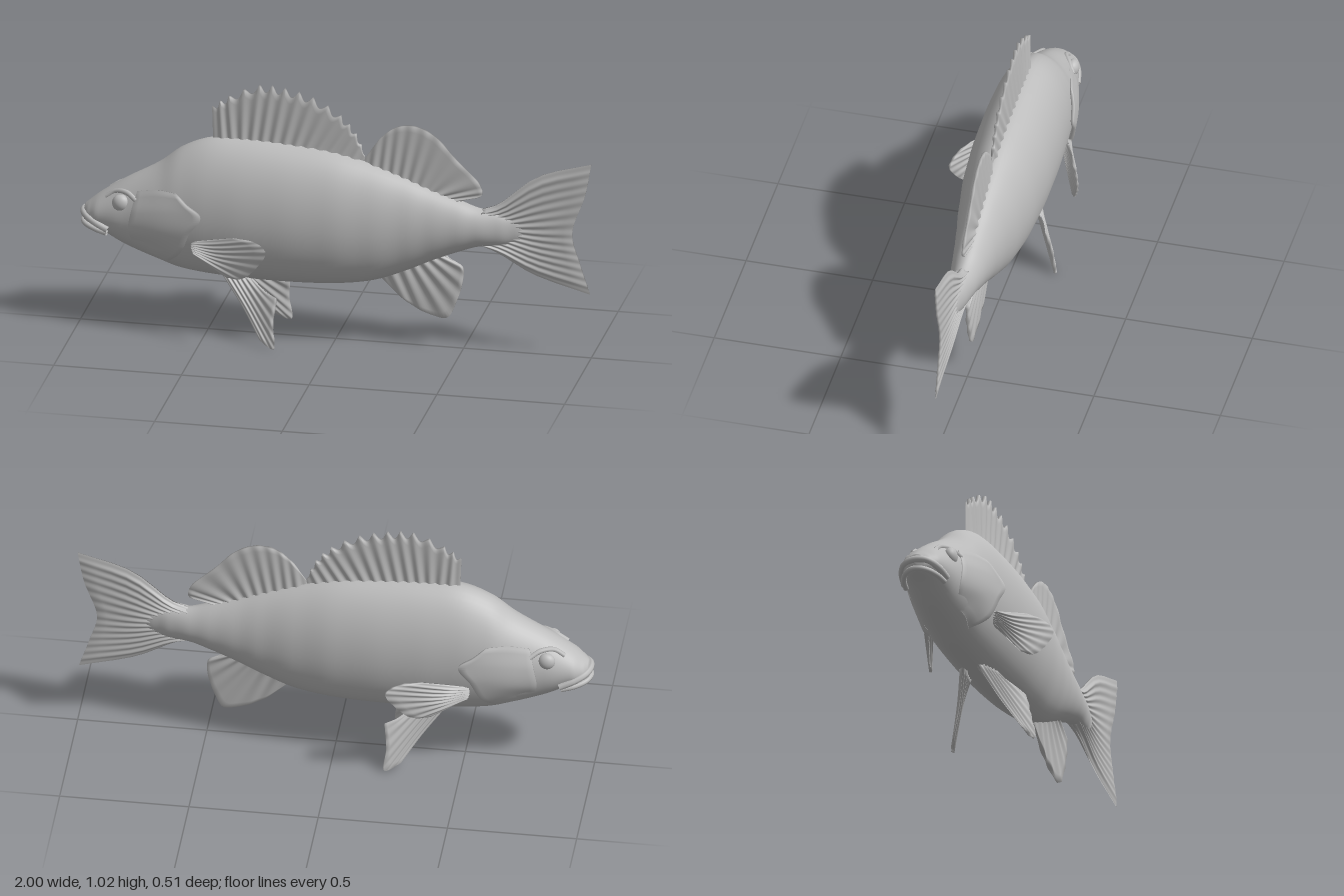
import * as THREE from 'three';

const skin = new THREE.MeshStandardMaterial({ color: 0xbcbcbc, side: THREE.DoubleSide });
skin.name = 'grey skin';
const V = (p) => new THREE.Vector3(p[0], p[1], p[2] || 0);

// Body stations from snout to tail: x, top y, bottom y, half width
const stations = [
  [-0.985, 0.478, 0.415, 0.03], [-0.96, 0.5, 0.405, 0.06], [-0.92, 0.533, 0.39, 0.083],
  [-0.82, 0.6, 0.335, 0.106], [-0.69, 0.675, 0.285, 0.132], [-0.6, 0.745, 0.255, 0.143],
  [-0.49, 0.79, 0.24, 0.152], [-0.35, 0.798, 0.232, 0.158], [-0.18, 0.79, 0.23, 0.158],
  [0, 0.77, 0.237, 0.147], [0.15, 0.73, 0.26, 0.125], [0.28, 0.685, 0.31, 0.1],
  [0.38, 0.645, 0.358, 0.083], [0.48, 0.61, 0.4, 0.068], [0.56, 0.583, 0.428, 0.054],
  [0.64, 0.572, 0.436, 0.037], [0.7, 0.555, 0.45, 0.02], [0.76, 0.53, 0.47, 0.004],
];
const profile = new THREE.CatmullRomCurve3(stations.map((s) => new THREE.Vector3(s[0], s[1], s[2])), false, 'centripetal');

// Interpolated station at x
function stationAt(x) {
  let i = 0;
  while (i < stations.length - 2 && stations[i + 1][0] < x) i++;
  const a = stations[i], b = stations[i + 1];
  const t = THREE.MathUtils.clamp((x - a[0]) / (b[0] - a[0]), 0, 1);
  return a.map((v, k) => v + (b[k] - v) * t);
}

// Point on the flank at x and y
function flank(x, y, out = 0) {
  const [, top, bottom, w] = stationAt(x);
  const mid = bottom + (top - bottom) * 0.47;
  const d = (y - mid) / (y > mid ? top - mid : mid - bottom);
  return [x, y, w * Math.sqrt(Math.max(0, 1 - d * d)) + out];
}

// Indexed grid of points, nu by nv; the last column can join the first
function grid(points, nu, nv, closed) {
  const index = [];
  for (let i = 0; i < nu - 1; i++) {
    for (let j = 0; j < (closed ? nv : nv - 1); j++) {
      const k = (j + 1) % nv;
      const a = i * nv + j, b = i * nv + k, c = a + nv, d = b + nv;
      index.push(a, b, c, b, d, c);
    }
  }
  const g = new THREE.BufferGeometry();
  g.setAttribute('position', new THREE.Float32BufferAttribute(points, 3));
  g.setIndex(index);
  g.computeVertexNormals();
  return g;
}

function bodyGeometry() {
  const pts = [], nu = 90, nv = 48;
  for (let i = 0; i <= nu; i++) {
    const p = profile.getPoint(i / nu);
    // Ends close to a point
    const end = i === 0 || i === nu ? 0.02 : 1;
    const s = i / nu * (stations.length - 1), k = Math.min(Math.floor(s), stations.length - 2);
    const f = s - k, e = f * f * (3 - 2 * f) * 0.4 + f * 0.6;
    const w = stations[k][3] * (1 - e) + stations[k + 1][3] * e;
    const mid = p.z + (p.y - p.z) * 0.47;
    for (let j = 0; j < nv; j++) {
      const a = j / nv * Math.PI * 2, c = Math.cos(a), n = Math.sin(a);
      const h = c > 0 ? p.y - mid : mid - p.z;
      const z = Math.sign(n) * Math.pow(Math.abs(n), c > 0 ? 1.12 : 0.95);
      pts.push(p.x, mid + c * h * end, z * w * end);
    }
  }
  return grid(pts, nu + 1, nv, true);
}

// Thin fin lofted through rows of points from root to edge, with ribbed rays
function fin(rows, o = {}) {
  const { thick = 0.01, tip = 0.003, rays = 8, rib = 0.35, jag = 0, normal = [0, 0, 1] } = o;
  const curves = rows.map((r) => new THREE.CatmullRomCurve3(r.map(V), false, 'centripetal'));
  const nrm = V(normal).normalize(), nu = rays * 8, nv = 10, pts = [];
  for (let i = 0; i <= nu; i++) {
    const u = i / nu;
    const line = new THREE.CatmullRomCurve3(curves.map((c) => c.getPoint(u)));
    const saw = (u * rays) % 1;
    const reach = 1 - jag * Math.sin(saw * Math.PI) * (0.4 + saw);
    const edge = Math.min(1, Math.min(u, 1 - u) * 14 + 0.12);
    for (let j = 0; j < nv * 2 + 2; j++) {
      const side = j <= nv ? 1 : -1;
      const v = (j <= nv ? j : nv * 2 + 1 - j) / nv;
      const t = (thick + (tip - thick) * v) * edge * (1 + rib * Math.cos(u * rays * Math.PI * 2));
      const p = line.getPoint(v * reach).addScaledVector(nrm, side * t);
      pts.push(p.x, p.y, p.z);
    }
  }
  return grid(pts, nu + 1, nv * 2 + 2, true);
}

export function createModel() {
  const fish = new THREE.Group();
  fish.name = 'fish';
  const add = (name, geometry) => {
    const m = new THREE.Mesh(geometry, skin);
    m.name = name;
    fish.add(m);
    return m;
  };

  add('body', bodyGeometry());

  // Fins on the midline
  add('spinyDorsalFin', fin([
    [[-0.48, 0.77], [-0.3, 0.78], [-0.1, 0.77], [0.11, 0.73]],
    [[-0.485, 0.92], [-0.42, 0.965], [-0.3, 1.02], [-0.2, 1.015], [-0.09, 0.985], [0.02, 0.92], [0.08, 0.85], [0.115, 0.76]],
  ], { thick: 0.013, tip: 0.005, rays: 14, jag: 0.13 }));
  add('softDorsalFin', fin([
    [[0.11, 0.73], [0.25, 0.68], [0.38, 0.63], [0.49, 0.6]],
    [[0.115, 0.755], [0.18, 0.845], [0.24, 0.89], [0.31, 0.898], [0.385, 0.865], [0.47, 0.775], [0.565, 0.675], [0.57, 0.635], [0.5, 0.615]],
  ], { thick: 0.012, tip: 0.004, rays: 11 }));
  add('analFin', fin([
    [[0.17, 0.28], [0.28, 0.325], [0.36, 0.365], [0.43, 0.39]],
    [[0.18, 0.265], [0.27, 0.185], [0.34, 0.145], [0.435, 0.125], [0.475, 0.2], [0.495, 0.27], [0.495, 0.335], [0.435, 0.365]],
  ], { thick: 0.014, tip: 0.006, rays: 7 }));
  add('tailFin', fin([
    [[0.57, 0.58], [0.59, 0.505], [0.57, 0.43]],
    [[0.635, 0.605], [0.67, 0.505], [0.635, 0.405]],
    [[0.79, 0.73], [0.8, 0.5], [0.77, 0.33]],
    [[1, 0.797], [0.975, 0.665], [0.925, 0.505], [0.955, 0.385], [0.995, 0.262]],
  ], { thick: 0.022, tip: 0.004, rays: 14, rib: 0.2 }));

  // Upper and lower lips wrapped around the snout
  const lip = (name, pts, r) => {
    const all = [...pts.map((p) => [p[0], p[1], -p[2]]), ...pts.slice(0, -1).reverse()];
    add(name, new THREE.TubeGeometry(new THREE.CatmullRomCurve3(all.map(V)), 32, r, 8));
  };
  lip('upperLip', [[-0.875, 0.412, 0.088], [-0.93, 0.435, 0.075], [-0.97, 0.452, 0.047], [-0.985, 0.458, 0]], 0.014);
  lip('lowerLip', [[-0.88, 0.395, 0.08], [-0.93, 0.405, 0.068], [-0.972, 0.415, 0.04], [-0.987, 0.42, 0]], 0.011);

  // Paired parts
  for (const s of [1, -1]) {
    const side = s > 0 ? 'left' : 'right';
    const flip = (rows) => rows.map((r) => r.map((p) => [p[0], p[1], p[2] * s]));
    const pectoral = (x, y) => [x, y, 0.145 + (x + 0.5) * 0.39];

    add(side + 'PectoralFin', fin(flip([
      [pectoral(-0.53, 0.41), pectoral(-0.53, 0.385), pectoral(-0.52, 0.36)],
      [pectoral(-0.45, 0.435), pectoral(-0.43, 0.375), pectoral(-0.44, 0.315)],
      [pectoral(-0.36, 0.462), pectoral(-0.26, 0.46), pectoral(-0.225, 0.43), pectoral(-0.26, 0.365),
        pectoral(-0.32, 0.305), pectoral(-0.39, 0.293)],
    ]), { thick: 0.014, tip: 0.004, rays: 8, normal: [-0.39, 0, s] }));

    add(side + 'PelvicFin', fin(flip([
      [[-0.44, 0.245, 0.03], [-0.38, 0.25, 0.045], [-0.31, 0.245, 0.06]],
      [[-0.345, 0.13, 0.085], [-0.3, 0.155, 0.1], [-0.25, 0.215, 0.11]],
      [[-0.27, 0.03, 0.145], [-0.21, 0.006, 0.17], [-0.215, 0.1, 0.155], [-0.205, 0.2, 0.13]],
    ]), { thick: 0.012, tip: 0.005, rays: 6, normal: [-0.3, 0.45, s] }));

    // Gill cover: lies on the cheek and lifts off at its rear edge
    add(side + 'GillCover', fin(flip([
      [flank(-0.76, 0.58), flank(-0.78, 0.5), flank(-0.79, 0.42), flank(-0.76, 0.34)],
      [flank(-0.68, 0.6, 0.004), flank(-0.65, 0.52, 0.007), flank(-0.67, 0.43, 0.007), flank(-0.7, 0.33, 0.004)],
      [flank(-0.6, 0.6, 0.004), flank(-0.55, 0.56, 0.01), flank(-0.495, 0.52, 0.013), flank(-0.54, 0.45, 0.014),
        flank(-0.58, 0.36, 0.012), flank(-0.64, 0.3, 0.006)],
    ]), { thick: 0.004, tip: 0.006, rays: 4, rib: 0 }));

    const eye = add(side + 'Eye', new THREE.SphereGeometry(0.034, 24, 16));
    eye.position.set(-0.825, 0.525, s * 0.083);
    eye.scale.z = 0.75;

    // Brow ridge over the eye
    const brow = [[-0.89, 0.535], [-0.85, 0.56], [-0.8, 0.565], [-0.76, 0.545]];
    add(side + 'Brow', new THREE.TubeGeometry(new THREE.CatmullRomCurve3(
      flip([brow.map((p) => flank(p[0], p[1], -0.004))])[0].map(V)), 16, 0.01, 8));
  }
  return fish;
}
